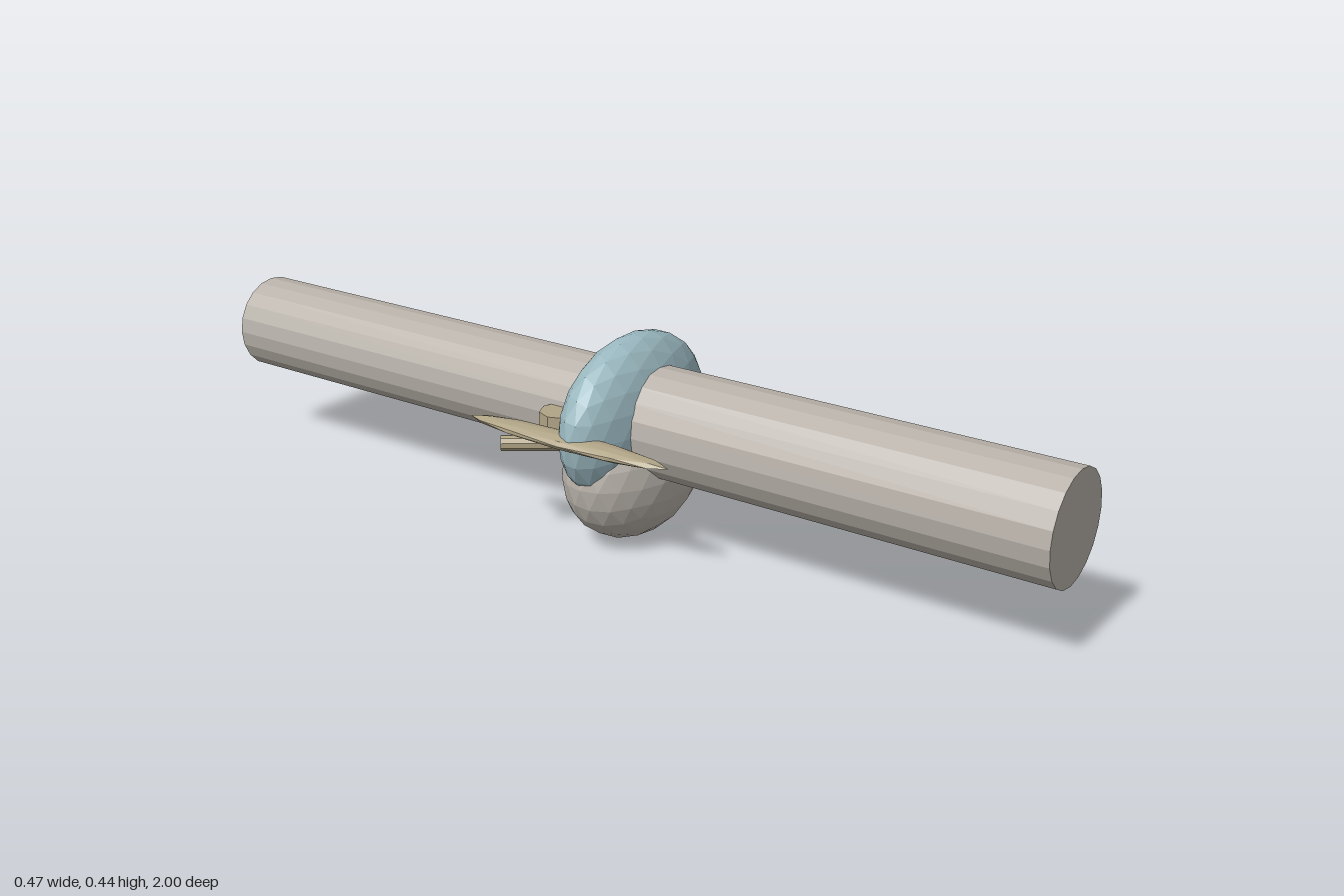
import * as THREE from 'three';

const material = (name, color) => {
  const m = new THREE.MeshStandardMaterial({ color, flatShading: true });
  m.name = name;
  return m;
};

// faceted ball with a vertex at each y pole and mirror symmetry in x
function ball(detail, rx, ry, rz) {
  const g = new THREE.IcosahedronGeometry(1, detail);
  g.rotateZ(Math.atan(2 / (1 + Math.sqrt(5))));
  g.rotateY(Math.PI / 2);
  return g.scale(rx, ry, rz);
}

export function createModel() {
  const group = new THREE.Group();
  const grey = material('warm grey', 0xb8b2aa);
  const blue = material('dusty blue', 0x9ab8c0);
  const tan = material('tan', 0xb0a486);

  const add = (name, geometry, mat, x, y, z) => {
    const mesh = new THREE.Mesh(geometry, mat);
    mesh.name = name;
    mesh.position.set(x, y, z);
    group.add(mesh);
    return mesh;
  };

  // long front and rear tubes
  add('frontTube', new THREE.CylinderGeometry(0.115, 0.115, 1, 20).rotateX(Math.PI / 2), grey, 0, 0.265, 0.5);
  add('rearTube', new THREE.CylinderGeometry(0.104, 0.104, 1, 20).rotateX(Math.PI / 2), grey, 0, 0.266, -0.5);

  // central body and belly
  add('body', ball(3, 0.225, 0.173, 0.09), blue, 0, 0.265, 0.035);
  add('belly', ball(3, 0.186, 0.156, 0.122), grey, 0, 0.158, 0.037);

  for (const side of [-1, 1]) {
    // spindle fin, pointed fore and aft
    const fin = ball(1, 1, 1, 1).rotateX(Math.PI / 2).scale(0.034, 0.0145, 0.245);
    add('fin', fin, tan, side * 0.2, 0.265, 0.015);

    // squat hub behind the body
    add('hub', new THREE.CylinderGeometry(0.045, 0.045, 0.045, 8), tan, side * 0.118, 0.265, -0.06);

    // peg slanting outward and back, higher on one side
    const y = side > 0 ? 0.304 : 0.226;
    const from = new THREE.Vector3(side * 0.12, y, -0.025);
    const to = new THREE.Vector3(side * 0.209, y, -0.145);
    const dir = to.clone().sub(from);
    const peg = add('peg', new THREE.CylinderGeometry(0.017, 0.017, dir.length(), 10), tan, 0, 0, 0);
    peg.position.copy(from).add(to).multiplyScalar(0.5);
    peg.quaternion.setFromUnitVectors(new THREE.Vector3(0, 1, 0), dir.normalize());
  }
  return group;
}
